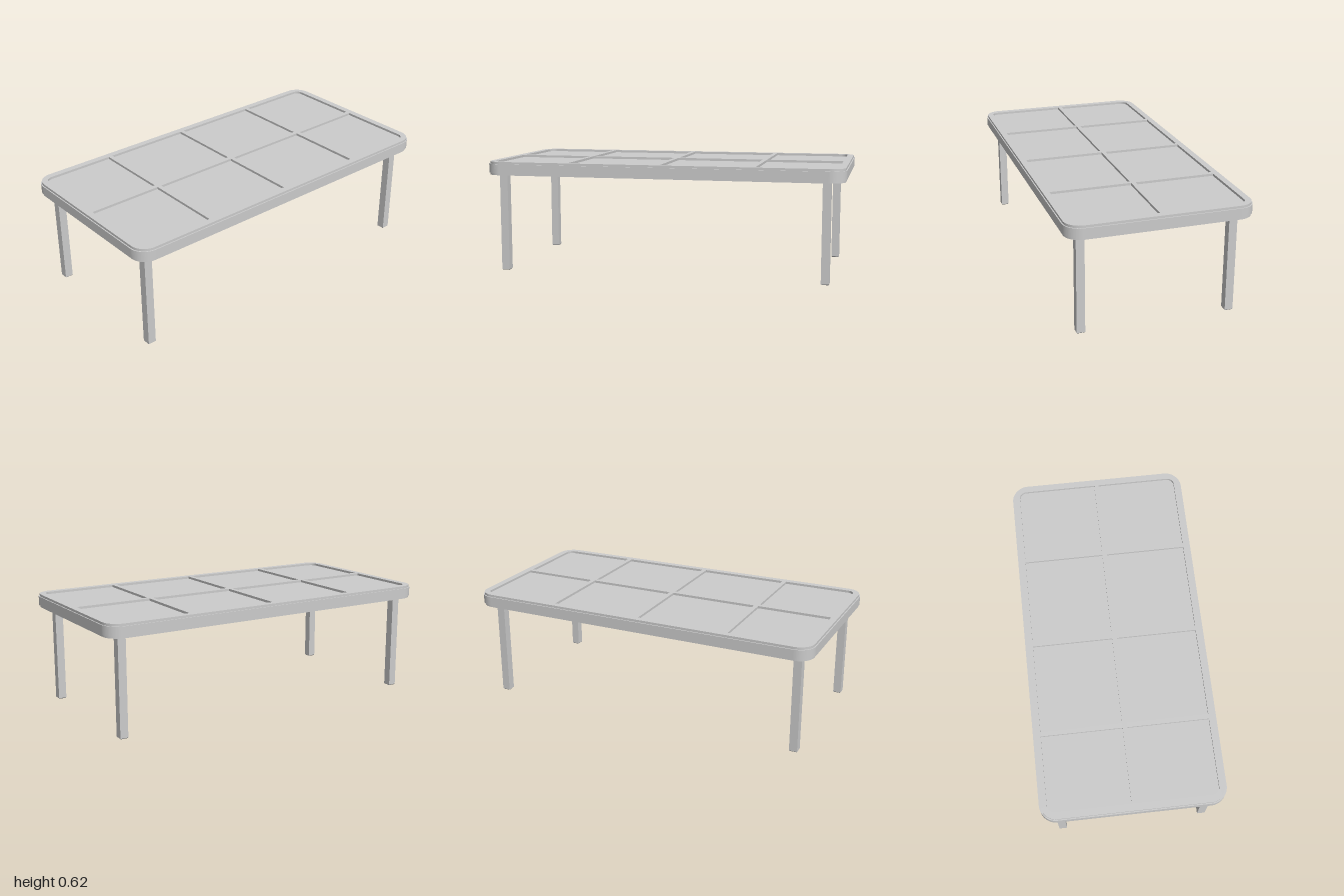
import * as THREE from 'three';

const material = new THREE.MeshStandardMaterial({ color: 0xcccccc });

// Rectangle outline with one radius per corner: [x0z0, x1z0, x1z1, x0z1]
function roundedRect(path, x0, y0, x1, y1, [a, b, c, d]) {
  path.moveTo(x0 + a, y0);
  path.lineTo(x1 - b, y0);
  if (b) path.absarc(x1 - b, y0 + b, b, -Math.PI / 2, 0);
  path.lineTo(x1, y1 - c);
  if (c) path.absarc(x1 - c, y1 - c, c, 0, Math.PI / 2);
  path.lineTo(x0 + d, y1);
  if (d) path.absarc(x0 + d, y1 - d, d, Math.PI / 2, Math.PI);
  path.lineTo(x0, y0 + a);
  if (a) path.absarc(x0 + a, y0 + a, a, Math.PI, Math.PI * 1.5);
  return path;
}

// Horizontal slab from a plan outline, spanning y0 to y1
function slab(name, shape, y0, y1) {
  const geometry = new THREE.ExtrudeGeometry(shape, { depth: y1 - y0, bevelEnabled: false, curveSegments: 10 });
  geometry.rotateX(Math.PI / 2).translate(0, y1, 0);
  const mesh = new THREE.Mesh(geometry, material);
  mesh.name = name;
  return mesh;
}

// Raised lattice: rim and dividers around eight panel openings
function latticeShape() {
  const shape = roundedRect(new THREE.Shape(), -0.994, -0.494, 0.994, 0.494, [0.085, 0.085, 0.085, 0.085]);
  const columns = [[-0.957, -0.54], [-0.515, -0.02], [0.005, 0.5], [0.525, 0.957]];
  const rows = [[-0.458, -0.013], [0.013, 0.458]];
  const r = 0.04;
  columns.forEach(([x0, x1], i) => rows.forEach(([z0, z1], j) => {
    const left = i === 0, right = i === 3, back = j === 0;
    const radii = [left && back, right && back, right && !back, left && !back].map((on) => (on ? r : 0));
    shape.holes.push(roundedRect(new THREE.Path(), x0, z0, x1, z1, radii));
  }));
  return shape;
}

export function createModel() {
  const table = new THREE.Group();
  table.name = 'table';

  // Core slab, whose faces show as the recessed panels
  const core = roundedRect(new THREE.Shape(), -1, -0.5, 1, 0.5, [0.09, 0.09, 0.09, 0.09]);
  table.add(slab('topCore', core, 0.562, 0.612));

  // Lattices above and below the core
  table.add(slab('upperLattice', latticeShape(), 0.612, 0.625));
  table.add(slab('lowerLattice', latticeShape(), 0.55, 0.562));

  // Square legs with a small chamfer around the foot
  const w = 0.0225, c = 0.005, top = 0.564;
  const shaft = new THREE.BoxGeometry(2 * w, top - c, 2 * w).translate(0, (top + c) / 2, 0);
  const foot = new THREE.BoxGeometry(2 * w, c, 2 * w).translate(0, c / 2, 0);
  const p = foot.attributes.position;
  for (let i = 0; i < p.count; i++) {
    if (p.getY(i) < c / 2) {
      p.setX(i, p.getX(i) * (1 - c / w));
      p.setZ(i, p.getZ(i) * (1 - c / w));
    }
  }
  foot.computeVertexNormals();
  for (const [xName, x] of [['Right', -0.913], ['Left', 0.898]]) {
    for (const [zName, z] of [['front', 0.41], ['back', -0.403]]) {
      const leg = new THREE.Group();
      leg.name = `${zName}${xName}Leg`;
      const shaftMesh = new THREE.Mesh(shaft, material);
      shaftMesh.name = 'legShaft';
      const footMesh = new THREE.Mesh(foot, material);
      footMesh.name = 'legFoot';
      leg.add(shaftMesh, footMesh);
      leg.position.set(x, 0, z);
      table.add(leg);
    }
  }
  return table;
}
